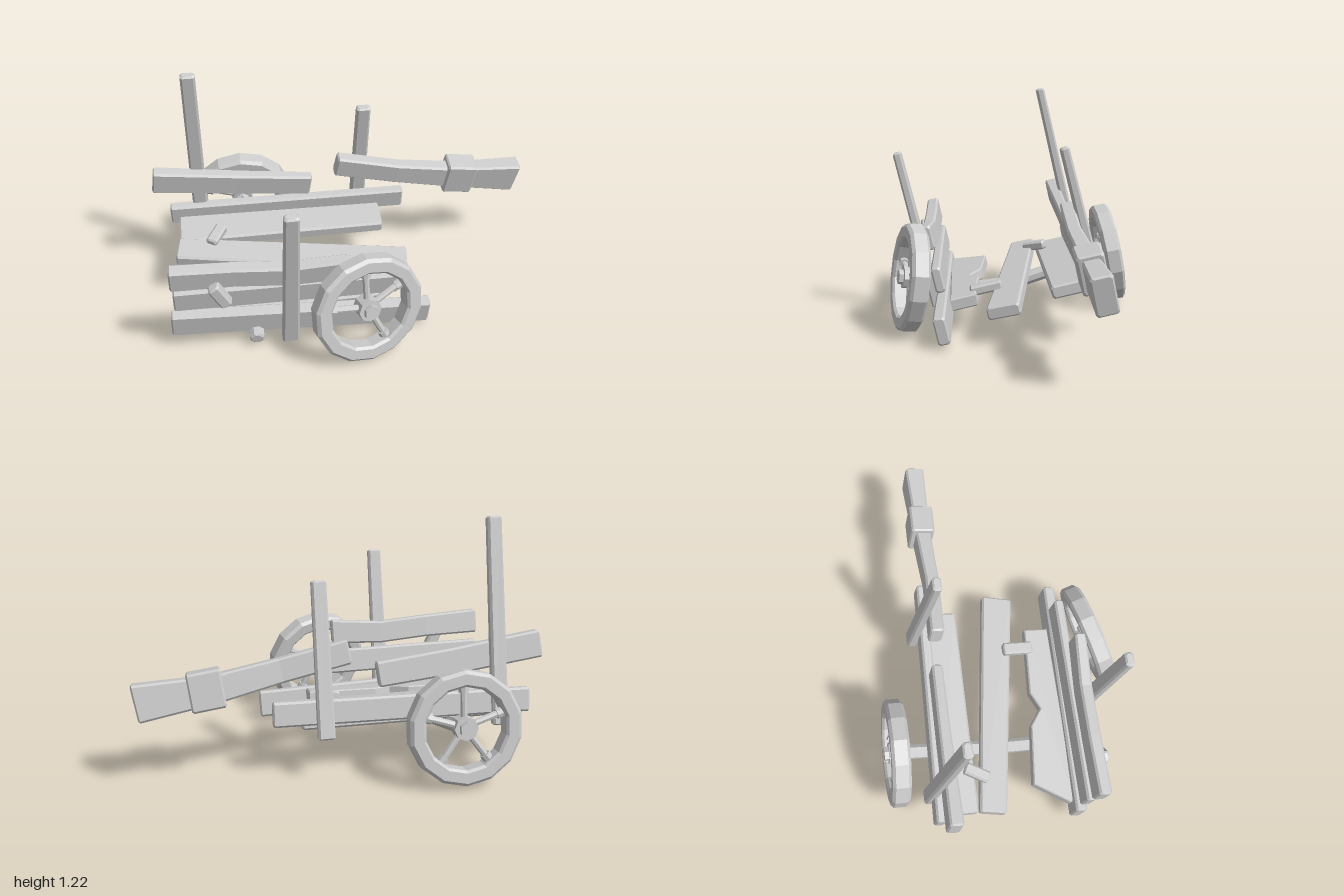
import * as THREE from 'three';

const material = new THREE.MeshStandardMaterial({ color: 0xcccccc, flatShading: true, side: THREE.DoubleSide });
const LEAN = 0.22; // the whole wreck leans towards the front
const UP = new THREE.Vector3(0, Math.cos(LEAN), Math.sin(LEAN));
const ACROSS = new THREE.Vector3(1, 0, 0);

// Bevelled beam lofted through points [x, y, z, height, thickness]; height runs along "up"
function beam(name, points, up = UP, bevel = 0.01) {
  const at = (p) => new THREE.Vector3(p[0], p[1], p[2]);
  const last = points[points.length - 1];
  const dir = at(last).sub(at(points[0])).normalize();
  const side = dir.clone().cross(up).normalize();
  const top = side.clone().cross(dir);
  const rings = [];
  const addRing = (p, inset, shift) => {
    const h = p[3] / 2 - inset, t = p[4] / 2 - inset, c = bevel;
    const outline = [[h, -t + c], [h, t - c], [h - c, t], [-h + c, t], [-h, t - c], [-h, -t + c], [-h + c, -t], [h - c, -t]];
    rings.push(outline.map(([u, s]) =>
      at(p).addScaledVector(dir, shift).addScaledVector(top, u).addScaledVector(side, s)));
  };
  const end = Math.min(bevel, 0.008);
  addRing(points[0], end, 0);
  points.forEach((p, i) => addRing(p, 0, i === 0 ? end : i === points.length - 1 ? -end : 0));
  addRing(last, end, 0);

  const position = rings.flat().flatMap((v) => [v.x, v.y, v.z]);
  const index = [];
  for (let k = 0; k < rings.length - 1; k++) {
    for (let i = 0; i < 8; i++) {
      const a = k * 8 + i, b = k * 8 + ((i + 1) % 8);
      index.push(a, b, b + 8, a, b + 8, a + 8);
    }
  }
  const e = (rings.length - 1) * 8;
  for (let i = 1; i < 7; i++) index.push(0, i + 1, i, e, e + i, e + i + 1);
  const geometry = new THREE.BufferGeometry();
  geometry.setAttribute('position', new THREE.Float32BufferAttribute(position, 3));
  geometry.setIndex(index);
  geometry.computeVertexNormals();
  return named(name, geometry);
}

function named(name, geometry) {
  const mesh = new THREE.Mesh(geometry, material);
  mesh.name = name;
  return mesh;
}

// Spoked wheel facing z, with spokes at the given angles in degrees
function wheel(name, spokeAngles) {
  const group = new THREE.Group();
  group.name = name;
  const profile = [[0.262, -0.047], [0.278, -0.032], [0.278, 0.032], [0.262, 0.047], [0.212, 0.047],
    [0.2, 0.035], [0.2, -0.035], [0.212, -0.047], [0.262, -0.047]].map(([r, y]) => new THREE.Vector2(r, y));
  group.add(named('rim', new THREE.LatheGeometry(profile, 14).rotateX(Math.PI / 2)));
  group.add(named('hub', new THREE.CylinderGeometry(0.058, 0.058, 0.075, 8).rotateX(Math.PI / 2)));
  group.add(named('hubCap', new THREE.CylinderGeometry(0.038, 0.038, 0.12, 6).rotateX(Math.PI / 2)));
  for (const angle of spokeAngles) {
    const spoke = new THREE.Group();
    spoke.name = 'spoke';
    spoke.add(named('rod', new THREE.CylinderGeometry(0.017, 0.017, 0.17, 8).translate(0, 0.125, 0)));
    spoke.add(named('collar', new THREE.CylinderGeometry(0.026, 0.026, 0.04, 8).translate(0, 0.188, 0)));
    spoke.rotation.z = THREE.MathUtils.degToRad(angle - 90);
    group.add(spoke);
  }
  return group;
}

// Broken floor plank, with a splintered end and a notch
function brokenPlank() {
  const outline = [[-0.88, 0.33], [0.08, 0.33], [0.08, 0.2], [-0.28, 0.175], [-0.37, 0.22], [-0.46, 0.155], [-0.77, 0.12], [-0.88, 0.3]];
  const shape = new THREE.Shape(outline.map(([x, z]) => new THREE.Vector2(x, 0.225 - z)));
  const geometry = new THREE.ExtrudeGeometry(shape, {
    depth: 0.05, bevelEnabled: true, bevelSize: 0.006, bevelOffset: -0.006, bevelThickness: 0.006, bevelSegments: 1,
  });
  const mesh = named('brokenFloorPlank', geometry.translate(0, 0, -0.025).rotateX(-Math.PI / 2));
  mesh.position.set(0, 0.175, 0.22);
  mesh.rotation.x = LEAN;
  return mesh;
}

export function createModel() {
  const cart = new THREE.Group();
  cart.name = 'brokenCart';

  // Wheels: the front one has lost a spoke and twisted loose
  const backWheel = wheel('backWheel', [90, 18, 162, 234, 306]);
  backWheel.position.set(-0.525, 0.292, -0.565);
  backWheel.rotation.x = 0.18;
  const frontWheel = wheel('frontWheel', [90, 26, 168, -65]);
  frontWheel.position.set(-0.012, 0.28, 0.533);
  frontWheel.rotation.set(-0.13, 0.25, 0, 'YXZ');
  cart.add(backWheel, frontWheel);

  // Bent axle
  cart.add(beam('axle', [[-0.535, 0.055, 0.41, 0.07, 0.07], [-0.53, 0.125, -0.05, 0.07, 0.07],
    [-0.525, 0.285, -0.54, 0.07, 0.07]], ACROSS, 0.0205));

  // Upright posts
  cart.add(
    beam('tallBackPost', [[-0.76, 0.225, -0.425, 0.08, 0.052], [-0.755, 1.215, -0.195, 0.072, 0.045]], ACROSS),
    beam('shortBackPost', [[0.105, 0.22, -0.425, 0.082, 0.052], [0.11, 0.95, -0.238, 0.072, 0.045]], ACROSS),
    beam('frontPost', [[-0.37, 0.035, 0.405, 0.085, 0.052], [-0.362, 0.885, 0.61, 0.07, 0.045]], ACROSS),
  );

  // Front side planks
  cart.add(
    beam('frontLowerPlank', [[-0.94, 0.155, 0.335, 0.14, 0.06], [0.335, 0.093, 0.368, 0.14, 0.062]]),
    beam('frontMiddlePlank', [[-0.915, 0.325, 0.375, 0.13, 0.05], [0.17, 0.305, 0.385, 0.13, 0.05]]),
    beam('frontUpperPlank', [[-0.92, 0.488, 0.425, 0.13, 0.065], [-0.62, 0.475, 0.425, 0.12, 0.065],
      [-0.36, 0.452, 0.43, 0.12, 0.065], [-0.085, 0.465, 0.445, 0.13, 0.06]]),
  );

  // Back side planks
  cart.add(
    beam('backLowerPlank', [[-0.92, 0.33, -0.375, 0.12, 0.055], [0.35, 0.33, -0.34, 0.12, 0.055]]),
    beam('backUpperPlank', [[-0.99, 0.592, -0.3, 0.135, 0.07], [-0.55, 0.53, -0.305, 0.13, 0.06], [-0.165, 0.485, -0.305, 0.125, 0.055]]),
  );

  // Floor planks
  cart.add(
    beam('backFloorPlank', [[-0.88, 0.268, -0.28, 0.065, 0.2], [0.21, 0.262, -0.27, 0.065, 0.2]]),
    beam('middleFloorPlank', [[-0.895, 0.26, -0.11, 0.065, 0.14], [0.29, 0.175, 0.07, 0.065, 0.165]]),
    brokenPlank(),
  );

  // Snapped pull handle with its cuff
  cart.add(
    beam('handle', [[-0.03, 0.605, -0.278, 0.12, 0.07], [0.3, 0.53, -0.275, 0.12, 0.07], [0.6, 0.47, -0.295, 0.135, 0.08],
      [0.74, 0.452, -0.298, 0.15, 0.085], [0.985, 0.425, -0.305, 0.18, 0.1]]),
    beam('handleCuff', [[0.575, 0.477, -0.297, 0.185, 0.125], [0.735, 0.455, -0.297, 0.185, 0.125]]),
  );

  // Loose pegs and scraps
  cart.add(
    beam('frontPeg', [[-0.725, 0.455, 0.475, 0.06, 0.055], [-0.665, 0.34, 0.465, 0.06, 0.055]], ACROSS),
    beam('backScrap', [[-0.72, 0.29, -0.105, 0.05, 0.06], [-0.655, 0.315, -0.22, 0.05, 0.06]]),
    beam('floorScrap', [[-0.025, 0.2, 0.225, 0.05, 0.065], [-0.025, 0.235, 0.065, 0.05, 0.065]]),
  );
  return cart;
}
